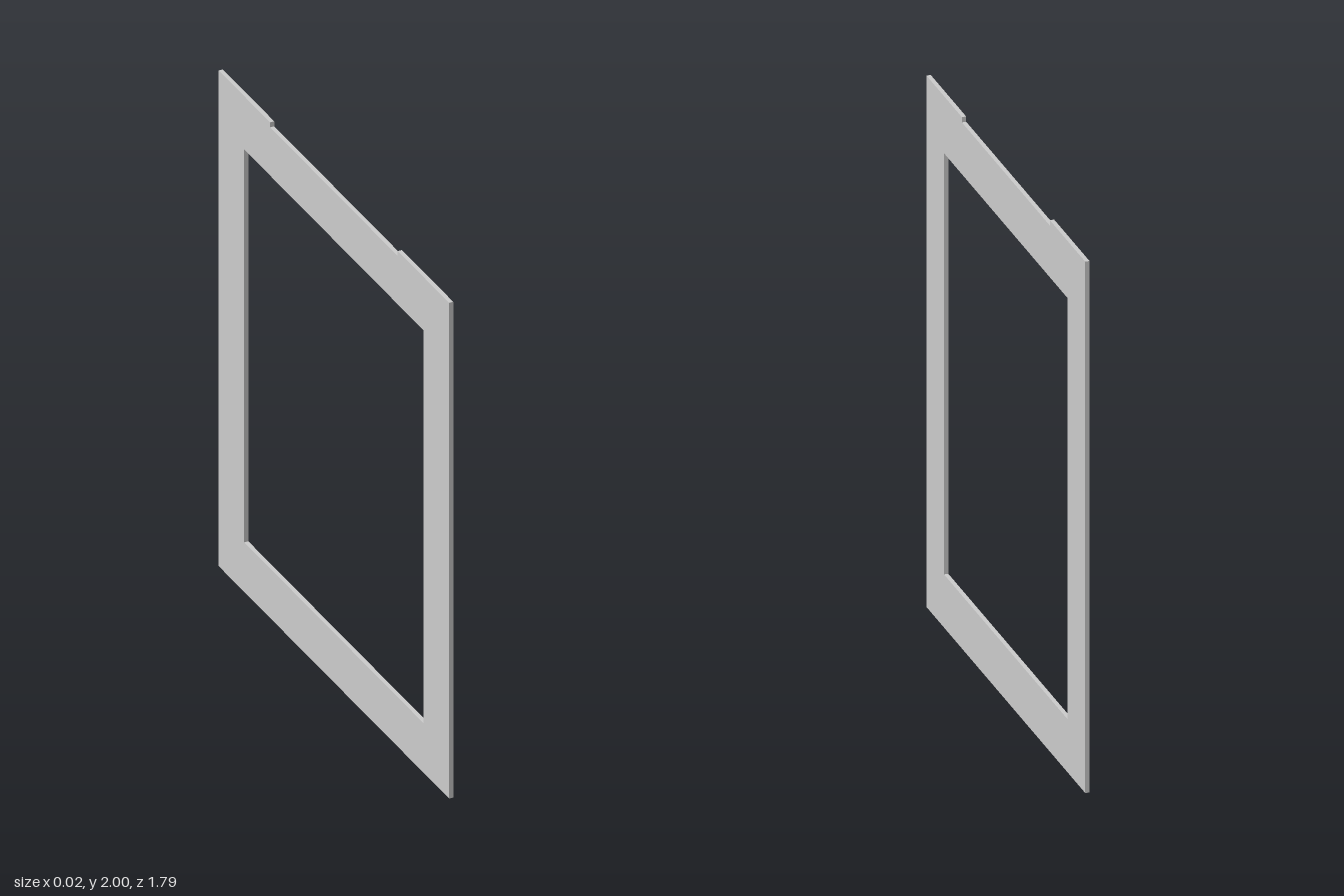
import * as THREE from 'three';

const HALF_WIDTH = 0.894;
const HEIGHT = 2;
const THICKNESS = 0.016;

// Closed outline from [horizontal, vertical] corners
const corners = (pts) => pts.map(([u, v]) => new THREE.Vector2(u, v));

export function createModel() {
  const group = new THREE.Group();
  group.name = 'flatFrame';

  // Outer outline with the shallow recess along the top edge
  const outline = new THREE.Shape(corners([
    [-HALF_WIDTH, 0], [HALF_WIDTH, 0], [HALF_WIDTH, HEIGHT],
    [0.495, HEIGHT], [0.495, 1.98], [-0.495, 1.98], [-0.495, HEIGHT],
    [-HALF_WIDTH, HEIGHT],
  ]));

  // Rectangular opening
  outline.holes.push(new THREE.Path(corners([
    [-0.696, 0.2], [-0.696, 1.785], [0.696, 1.785], [0.696, 0.2],
  ])));

  // Thin plate, centred on its thickness and turned to lie in the yz plane
  const geometry = new THREE.ExtrudeGeometry(outline, { depth: THICKNESS, bevelEnabled: false });
  geometry.translate(0, 0, -THICKNESS / 2);
  geometry.rotateY(Math.PI / 2);

  const plate = new THREE.Mesh(geometry, new THREE.MeshStandardMaterial({ color: 0xcccccc }));
  plate.name = 'framePlate';
  group.add(plate);
  return group;
}
